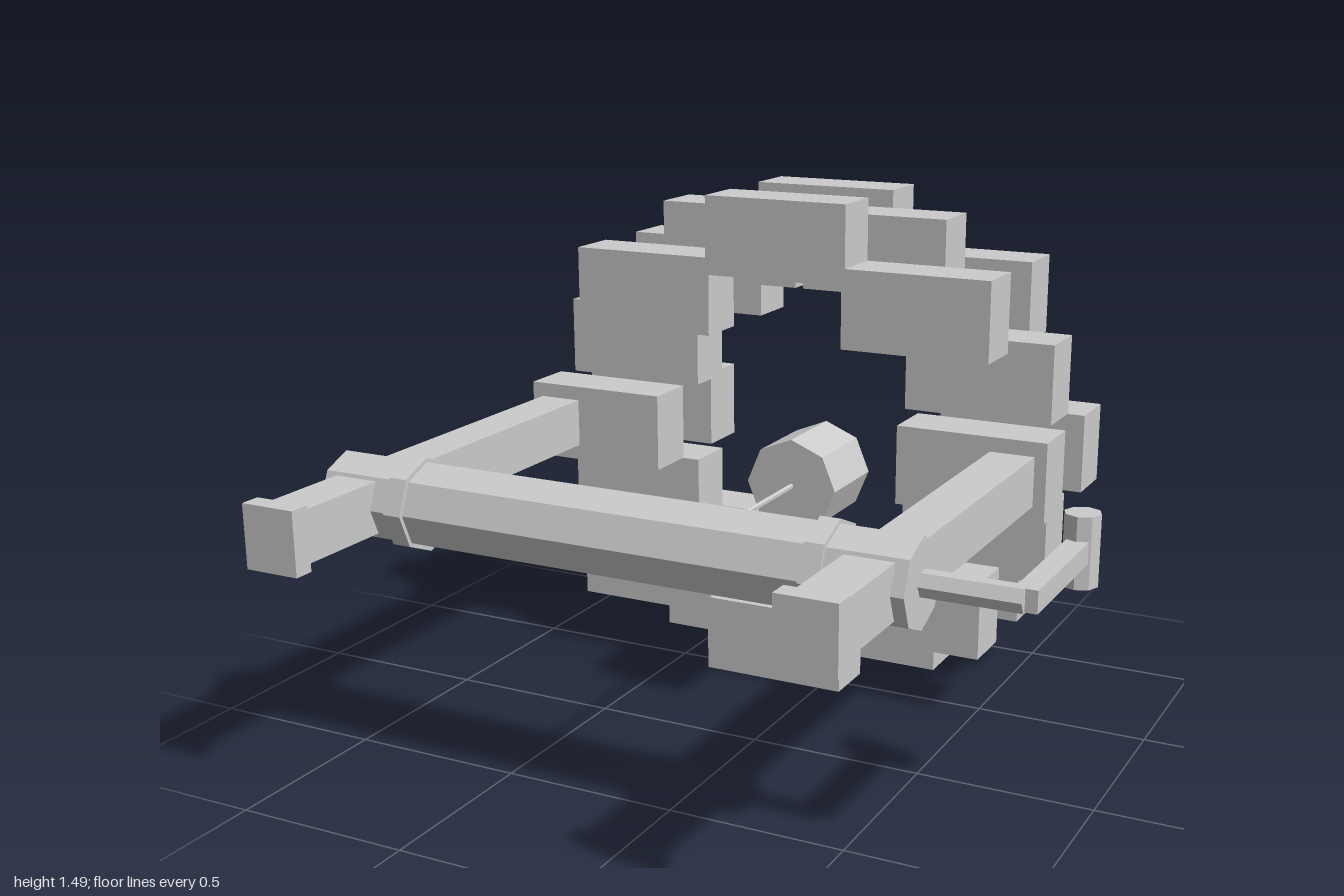
import * as THREE from 'three';

export function createModel() {
  const root = new THREE.Group();
  const grey = new THREE.MeshStandardMaterial({ color: 0xcccccc, flatShading: true });
  grey.name = 'light grey';
  const CY = 0.744; // height of the shared axis
  const CX = -0.153; // centre of the brick rings

  const add = (parent, name, geometry, x, y, z) => {
    const mesh = new THREE.Mesh(geometry, grey);
    mesh.name = name;
    mesh.position.set(x, y, z);
    parent.add(mesh);
    return mesh;
  };
  const box = (parent, name, w, h, d, x, y, z) =>
    add(parent, name, new THREE.BoxGeometry(w, h, d), x, y, z);
  // Faceted rod along the x, y or z axis
  const rod = (name, axis, radius, length, sides, x, y, z) => {
    const g = new THREE.CylinderGeometry(radius, radius, length, sides);
    if (axis === 'x') g.rotateZ(Math.PI / 2);
    if (axis === 'z') g.rotateX(Math.PI / 2);
    return add(root, name, g, x, y, z);
  };

  // Three staggered rings of eight bricks
  const straight = [[0, 0.625], [0.441, 0.441], [0.622, 0], [0.441, -0.441],
    [0, -0.625], [-0.441, -0.441], [-0.622, 0], [-0.441, 0.441]];
  const staggered = [[0.238, 0.574], [0.575, 0.24], [0.575, -0.24], [0.238, -0.574],
    [-0.238, -0.574], [-0.575, -0.24], [-0.575, 0.24], [-0.238, 0.574]];
  [[-0.511, straight], [-0.687, staggered], [-0.863, straight]].forEach(([z, spots], i) => {
    const ring = new THREE.Group();
    ring.name = 'brickRing' + (i + 1);
    for (const [x, y] of spots) box(ring, 'brick', 0.451, 0.235, 0.164, CX + x, CY + y, z);
    root.add(ring);
  });

  // Two posts with end caps
  for (const [side, x] of [['right', -0.9], ['left', 0.593]]) {
    box(root, side + 'Post', 0.132, 0.145, 1.5, x, CY + 0.002, 0.138);
    box(root, side + 'PostCap', 0.16, 0.177, 0.057, x, CY + 0.002, 0.912);
  }

  // Octagonal winch log and its bands
  rod('winchLog', 'x', 0.119, 1.693, 8, -0.153, CY, 0.5);
  for (const x of [-0.757, 0.453]) rod('logBand', 'x', 0.131, 0.054, 8, x, CY, 0.5);

  // Crank: axle, arm and grip
  rod('crankAxle', 'x', 0.035, 0.32, 6, 0.788, CY + 0.002, 0.5);
  box(root, 'crankArm', 0.058, 0.058, 0.435, 0.95, CY + 0.002, 0.292);
  rod('crankGrip', 'y', 0.048, 0.19, 8, 0.95, CY, 0.077);

  // Rope and bucket
  rod('rope', 'z', 0.008, 0.6, 6, 0.066, CY, 0.2);
  rod('bucket', 'z', 0.134, 0.236, 8, 0.066, CY, -0.211);

  return root;
}
